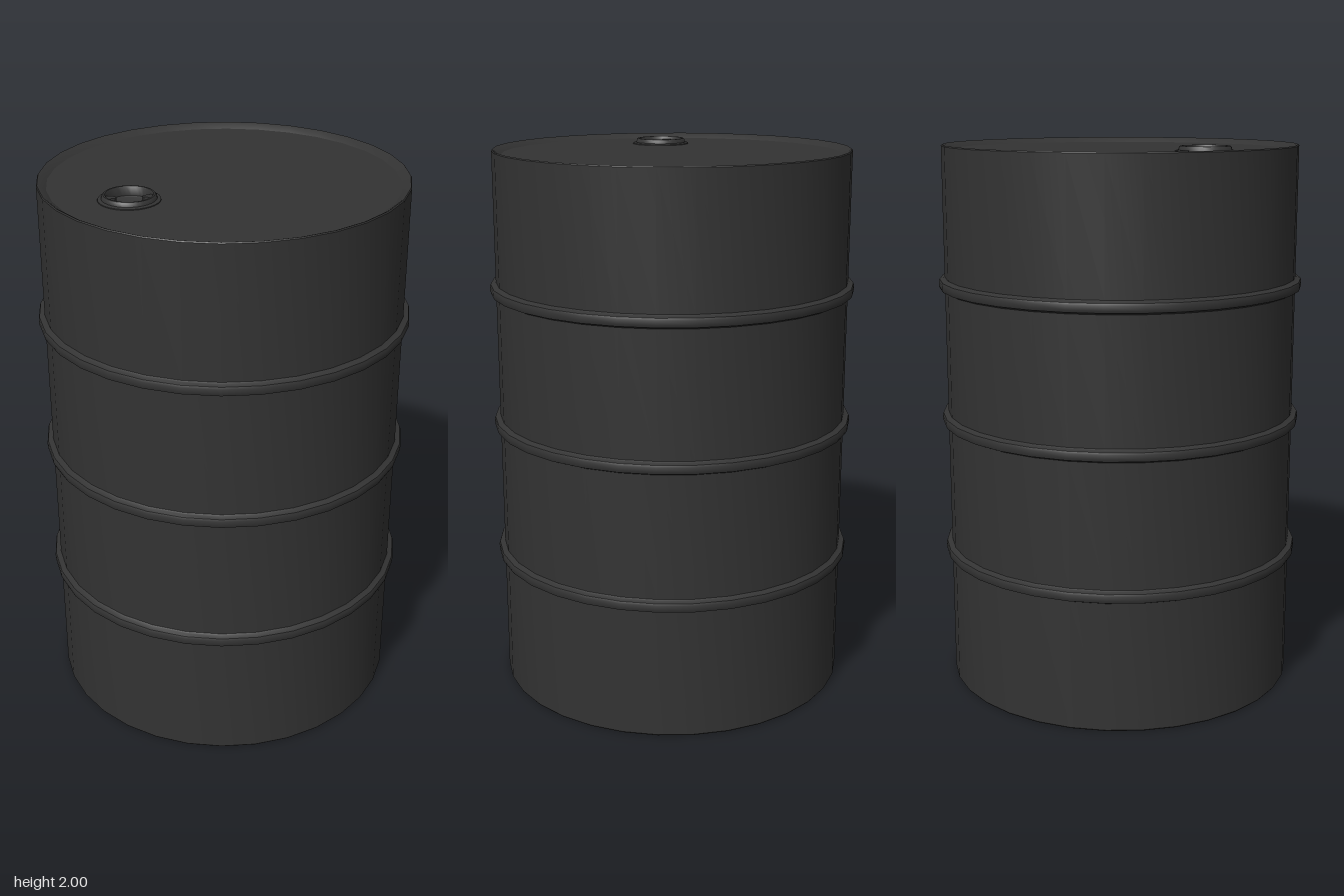
import * as THREE from 'three';
import { toCreasedNormals } from 'three/addons/utils/BufferGeometryUtils.js';

const SIDES = 32;
const R = 0.645;        // shell radius
const LID_Y = 1.98;     // recessed lid height
const LID_R = 0.612;
const BUNG_X = -0.375;

const steel = new THREE.MeshStandardMaterial({ color: 0x333333 });

function add(parent, name, geometry) {
  const mesh = new THREE.Mesh(geometry, steel);
  mesh.name = name;
  parent.add(mesh);
  return mesh;
}

// Revolved profile of [radius, y] pairs, listed so that faces point outward
function lathe(profile, crease = 0.6) {
  const points = profile.map(([r, y]) => new THREE.Vector2(r, y));
  return toCreasedNormals(new THREE.LatheGeometry(points, SIDES), crease);
}

export function createModel() {
  const barrel = new THREE.Group();
  barrel.name = 'barrel';

  // Shell: recessed base, three rolling hoops, rim sloping in to the lid
  const profile = [[0, 0.02], [LID_R, 0.02], [0.636, 0.002], [0.642, 0], [R, 0.004]];
  for (const y of [0.5, 1, 1.5]) {
    profile.push([R, y - 0.024], [0.651, y - 0.02], [0.664, y - 0.016], [0.667, y - 0.008],
      [0.667, y + 0.008], [0.664, y + 0.016], [0.651, y + 0.02], [R, y + 0.024]);
  }
  profile.push([R, 1.994], [0.642, 1.998], [0.636, 1.996], [LID_R, LID_Y]);
  add(barrel, 'shell', lathe(profile));

  // Lid with an opening for the bung
  const disc = new THREE.Shape().absarc(0, 0, LID_R, 0, Math.PI * 2, false);
  disc.holes.push(new THREE.Path().absarc(BUNG_X, 0, 0.1, 0, Math.PI * 2, true));
  const lid = add(barrel, 'lid', new THREE.ShapeGeometry(disc, SIDES / 2 * 2));
  lid.rotation.x = -Math.PI / 2;
  lid.position.y = LID_Y;

  // Bung: raised collar around a sunken cup
  const bung = new THREE.Group();
  bung.name = 'bung';
  bung.position.set(BUNG_X, LID_Y, 0);
  barrel.add(bung);
  add(bung, 'collar', lathe([
    [0.107, -0.004], [0.106, 0.003], [0.099, 0.006], [0.094, 0.006], [0.091, 0.016],
    [0.087, 0.02], [0.081, 0.02], [0.078, 0.016], [0.076, -0.012], [0.07, -0.016], [0, -0.016],
  ]));

  // Two tapered grip lugs pointing into the cup
  const lugShape = new THREE.Shape([
    [0.08, -0.018], [0.08, 0.018], [0.048, 0.01], [0.042, 0], [0.048, -0.01],
  ].map(([x, y]) => new THREE.Vector2(x, y)));
  const lugGeometry = new THREE.ExtrudeGeometry(lugShape, { depth: 0.026, bevelEnabled: false });
  lugGeometry.rotateX(-Math.PI / 2);
  for (const turn of [0, Math.PI]) {
    const lug = add(bung, 'gripLug', lugGeometry);
    lug.position.y = -0.016;
    lug.rotation.y = turn - 0.45;
  }

  return barrel;
}
